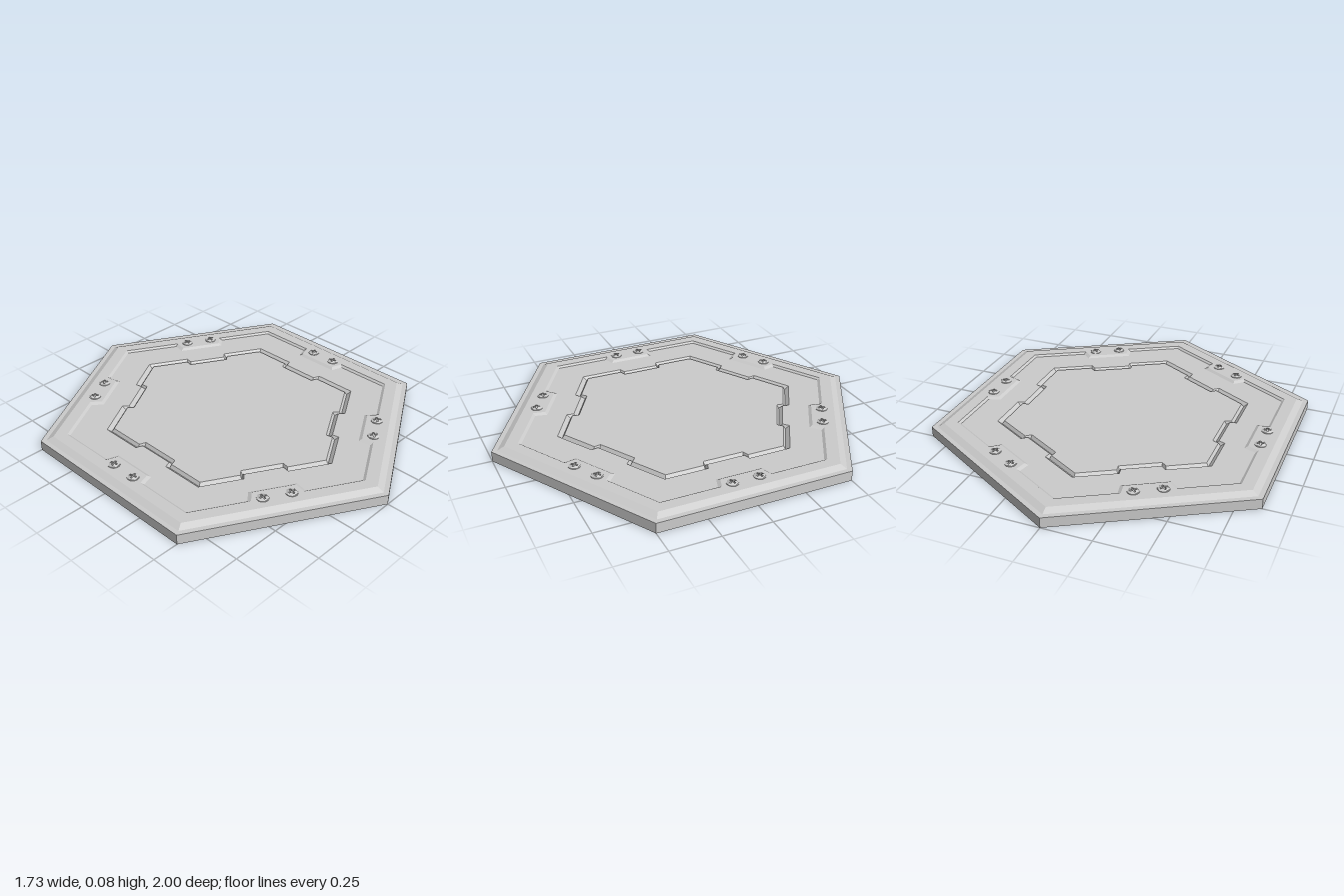
import * as THREE from 'three';

const material = new THREE.MeshStandardMaterial({ color: 0xcccccc, flatShading: true, side: THREE.DoubleSide });
const SIDES = 6;

// Six-fold outline at height y: apothem a, with a tab of apothem b in the
// middle of each side, whose flanks run from half width w1 to w0.
function outline(y, a, b = a, w1 = 0.14, w0 = 0.12) {
  const points = [];
  const side = [[a, -a / Math.sqrt(3)], [a, -w1], [b, -w0], [b, w0], [a, w1]];
  for (let i = 0; i < SIDES; i++) {
    const c = Math.cos(i * Math.PI / 3), s = Math.sin(i * Math.PI / 3);
    for (const [d, t] of side) points.push([d * c - t * s, y, d * s + t * c]);
  }
  return points;
}

// Surface through a list of outlines, from the outside in, optionally closed at the centre
function loft(name, loops, capped = false) {
  const pos = [];
  const n = loops[0].length;
  for (let k = 0; k + 1 < loops.length; k++) {
    for (let i = 0; i < n; i++) {
      const j = (i + 1) % n, A = loops[k], B = loops[k + 1];
      pos.push(...A[i], ...B[i], ...B[j], ...A[i], ...B[j], ...A[j]);
    }
  }
  if (capped) {
    const last = loops[loops.length - 1];
    for (let i = 0; i < n; i++) pos.push(...last[i], 0, last[i][1], 0, ...last[(i + 1) % n]);
  }
  const geometry = new THREE.BufferGeometry();
  geometry.setAttribute('position', new THREE.Float32BufferAttribute(pos, 3));
  geometry.computeVertexNormals();
  const mesh = new THREE.Mesh(geometry, material);
  mesh.name = name;
  return mesh;
}

// Domed screw head with a cross-shaped recess and a hollow shank below
function createScrew() {
  const R = 0.03, arm = 0.018, w = 0.0045;
  const shape = new THREE.Shape().absarc(0, 0, R, 0, Math.PI * 2);
  const cross = [];
  for (let i = 0; i < 4; i++) {
    const c = Math.round(Math.cos(i * Math.PI / 2)), s = Math.round(Math.sin(i * Math.PI / 2));
    for (const [x, y] of [[arm, -w], [arm, w], [w, w]]) cross.push(new THREE.Vector2(x * c - y * s, x * s + y * c));
  }
  shape.holes.push(new THREE.Path(cross));
  const headGeometry = new THREE.ExtrudeGeometry(shape, { depth: 0.01, bevelEnabled: false, curveSegments: 10 });
  headGeometry.rotateX(-Math.PI / 2);
  // Dome the upper face
  const p = headGeometry.attributes.position;
  for (let i = 0; i < p.count; i++) {
    if (p.getY(i) > 0.005) p.setY(i, 0.011 - 0.008 * (Math.hypot(p.getX(i), p.getZ(i)) / R) ** 2);
  }
  headGeometry.computeVertexNormals();
  const head = new THREE.Mesh(headGeometry, material);
  head.name = 'screwHead';

  const floor = new THREE.Mesh(new THREE.CircleGeometry(0.022, 16).rotateX(-Math.PI / 2), material);
  floor.name = 'screwRecessFloor';
  floor.position.y = 0.002;

  const profile = [[0.025, -0.004], [0.025, -0.018], [0.036, -0.018], [0.036, -0.002]];
  const shank = new THREE.Mesh(new THREE.LatheGeometry(profile.map(q => new THREE.Vector2(...q)), 20), material);
  shank.name = 'screwShank';

  const screw = new THREE.Group();
  screw.name = 'screw';
  screw.add(head, floor, shank);
  return screw;
}

export function createModel() {
  const model = new THREE.Group();
  model.name = 'hexagonalFloorTile';
  const top = 0.069, low = 0.06, apothem = Math.sqrt(3) / 2;

  // Outlines shared by neighbouring parts
  const shoulder = outline(0.053, apothem - 0.025);
  const rimTop = outline(top, 0.81);
  const borderEdge = outline(top, 0.75, 0.692, 0.127, 0.107);
  const recessEdge = outline(low, 0.737, 0.677, 0.14, 0.12);
  const grooveEdge = outline(low, 0.576, 0.542, 0.11, 0.098);
  const grooveBottom = outline(0.043, 0.556, 0.523, 0.115, 0.103);
  const panelEdge = outline(low, 0.545, 0.512, 0.118, 0.106);

  model.add(
    loft('outerWall', [outline(0, apothem), outline(0.053, apothem), shoulder]),
    loft('rimBevel', [shoulder, rimTop]),
    loft('raisedBorder', [rimTop, borderEdge, recessEdge]),
    loft('recessedBand', [recessEdge, grooveEdge]),
    loft('groove', [grooveEdge, grooveBottom, panelEdge]),
    loft('centrePanel', [panelEdge], true),
  );

  // A pair of screws on each tab
  for (let i = 0; i < SIDES; i++) {
    const pair = new THREE.Group();
    pair.name = 'screwPair';
    pair.rotation.y = i * Math.PI / 3;
    for (const z of [-0.07, 0.07]) {
      const screw = createScrew();
      screw.position.set(0.745, top, z);
      screw.rotation.y = 0.3;
      pair.add(screw);
    }
    model.add(pair);
  }
  return model;
}
